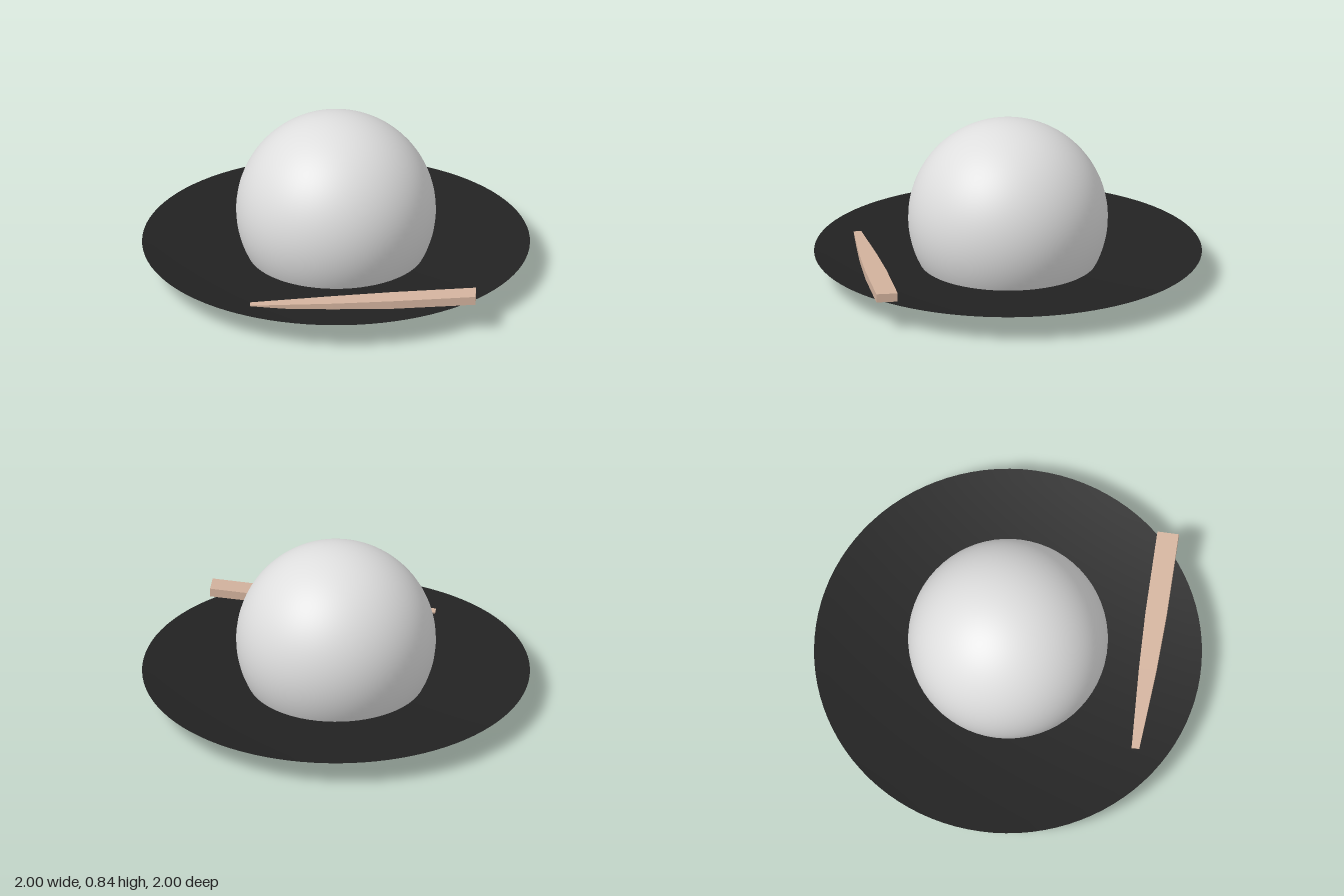
import * as THREE from 'three';

const paint = (name, color) => Object.assign(new THREE.MeshStandardMaterial({ color }), { name });

// Tapered bar lofted through rectangular sections [x, bottom, top, zBack, zFront]
function loftBar(sections) {
  const corners = sections.map(([x, b, t, z0, z1]) => [[x, b, z1], [x, b, z0], [x, t, z0], [x, t, z1]]);
  const pos = [];
  const quad = (a, b, c, d) => pos.push(...a, ...b, ...c, ...a, ...c, ...d);
  for (let i = 0; i < corners.length - 1; i++) {
    const p = corners[i], q = corners[i + 1];
    for (let k = 0; k < 4; k++) {
      const n = (k + 1) % 4;
      quad(p[k], p[n], q[n], q[k]);
    }
  }
  const first = corners[0], last = corners[corners.length - 1];
  quad(first[3], first[2], first[1], first[0]);
  quad(...last);
  const geo = new THREE.BufferGeometry();
  geo.setAttribute('position', new THREE.Float32BufferAttribute(pos, 3));
  geo.computeVertexNormals();
  return geo;
}

export function createModel() {
  const model = new THREE.Group();
  const black = paint('black glaze', 0x222222);
  const white = paint('pale grey', 0xdedede);
  const wood = paint('light wood', 0xd2b29d);

  const add = (name, geo, mat) => {
    const mesh = new THREE.Mesh(geo, mat);
    mesh.name = name;
    model.add(mesh);
    return mesh;
  };

  // Shallow dish: curved underside and a gentler hollow, meeting at the rim
  const steps = 16, outer = [], inner = [];
  for (let i = 0; i <= steps; i++) {
    const r = i / steps;
    outer.push(new THREE.Vector2(r, 0.14 * r * r));
    inner.unshift(new THREE.Vector2(r, 0.072 + 0.068 * r * r));
  }
  add('dishUnderside', new THREE.LatheGeometry(outer, 96), black);
  add('dishHollow', new THREE.LatheGeometry(inner, 96), black);

  // Ball resting in the dish, cut off just below the hollow's surface
  const ball = new THREE.SphereGeometry(0.515, 64, 40, 0, Math.PI * 2, 0, 2.09);
  add('ball', ball, white).position.y = 0.326;

  // Tapered stick lying across the front with its thick end over the rim
  add('stick', loftBar([
    [-0.43, 0.108, 0.125, 0.705, 0.745],
    [0, 0.122, 0.154, 0.682, 0.773],
    [0.3, 0.132, 0.175, 0.673, 0.783],
    [0.735, 0.16, 0.205, 0.673, 0.784],
  ]), wood);

  return model;
}
